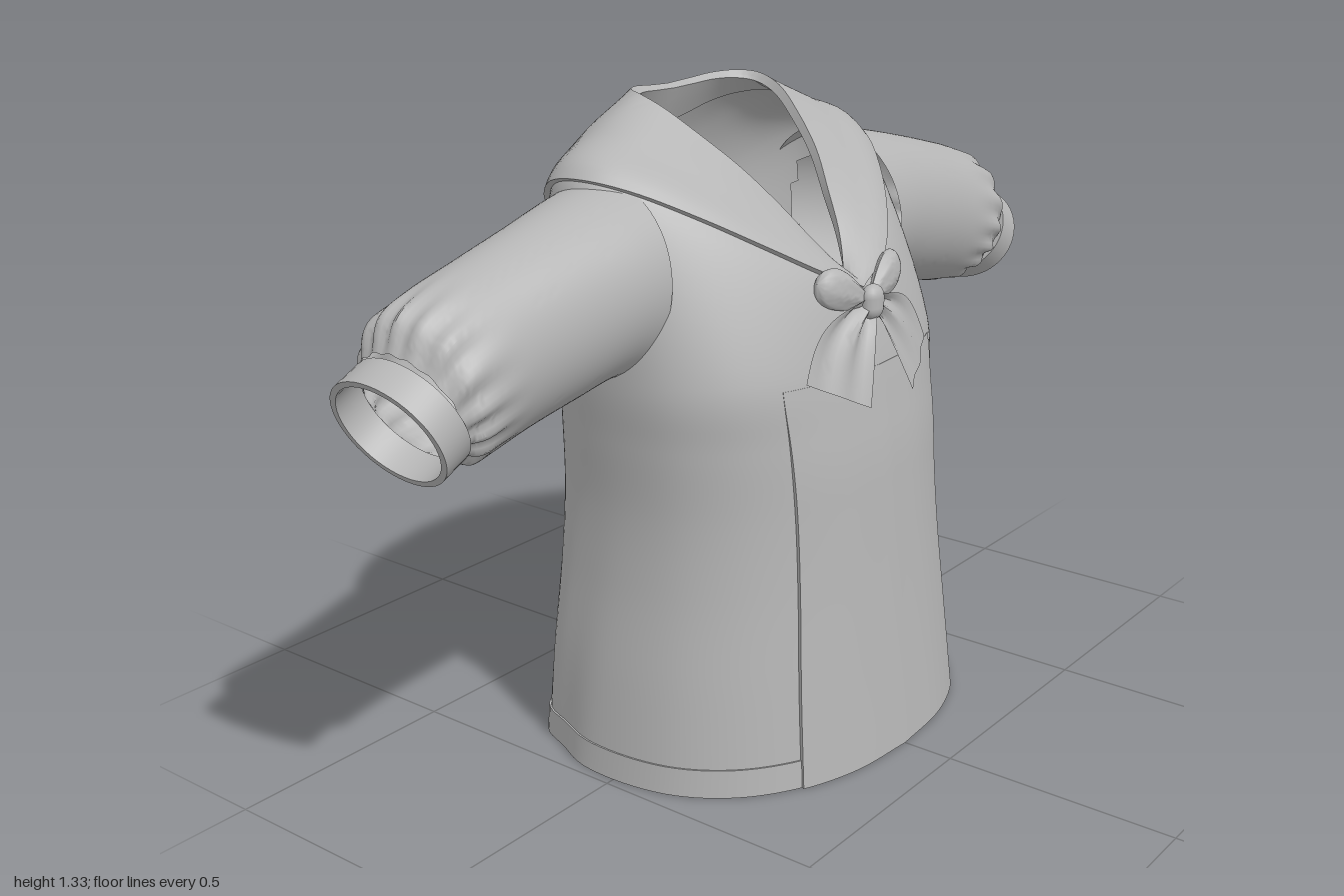
import * as THREE from 'three';
import { toCreasedNormals } from 'three/addons/utils/BufferGeometryUtils.js';

const V = (x, y, z) => new THREE.Vector3(x, y, z);
const { lerp, smoothstep } = THREE.MathUtils;
const range = (a, b, n) => Array.from({ length: n + 1 }, (_, i) => lerp(a, b, i / n));

// Collar edge and neckline, from centre front round the left side to centre back
const collarEdge = [[0, .96, .255], [.1, 1.005, .235], [.2, 1.065, .175], [.3, 1.13, .09], [.38, 1.18, 0],
  [.42, 1.2, -.08], [.41, 1.19, -.16], [.35, 1.14, -.24], [.25, 1.075, -.3], [.12, .99, -.332], [0, .93, -.34]].map(p => V(...p));
const neckline = [[0, .975, .22], [.05, 1.05, .165], [.085, 1.12, .11], [.125, 1.19, .05], [.16, 1.25, -.02],
  [.185, 1.3, -.09], [.185, 1.32, -.14], [.165, 1.325, -.175], [.12, 1.325, -.2], [.06, 1.32, -.213], [0, 1.317, -.217]].map(p => V(...p));
const collarMiddle = collarEdge.map((p, k) => p.clone().lerp(neckline[k], .5).add(V(0, .006, k > 6 ? -.022 : 0)));

// Half cross-section of the body: height, half width, front z, back z
function bodyRing([y, w, front, back]) {
  return collarEdge.map((_, k) => {
    const a = k * Math.PI / 10, c = Math.cos(a), zc = -.02;
    const depth = Math.abs(c) ** .85 * ((c > 0 ? front : back) - zc);
    return V(k === 10 ? 0 : w * Math.sin(a) ** .95, y, zc + depth);
  });
}
const rings = [
  ...[[0, .478, .38, -.365], [.2, .455, .36, -.362], [.4, .428, .342, -.357], [.55, .42, .33, -.354],
    [.7, .43, .318, -.352], [.83, .44, .3, -.348]].map(bodyRing),
  collarEdge, collarMiddle, neckline,
].map(r => new THREE.CatmullRomCurve3(r));
const EDGE = 6 / 8; // v of the collar edge

// Body surface: t runs -1..1 round the body (0 is centre front), v from hem to neckline
const columns = new Map();
function bodyPoint(t, v) {
  if (t > 1) t -= 2;
  if (t < -1) t += 2;
  const a = Math.abs(t), key = a.toFixed(6);
  if (!columns.has(key)) columns.set(key, new THREE.CatmullRomCurve3(rings.map(r => r.getPoint(a))));
  const p = columns.get(key).getPoint(v);
  // Soft drapery folds on the back and sides
  const weight = smoothstep(a, .5, .75) * (1 - smoothstep(v, .3, .72));
  const f = 1 - .035 * weight * Math.cos((1 - a) * Math.PI * 10 * (1 - .35 * p.y));
  return V(p.x * f * Math.sign(t), p.y, p.z * f);
}
function offsetPoint(t, v, off) {
  const p = bodyPoint(t, v);
  if (!off) return p;
  const e = .004;
  const du = bodyPoint(t + e, v).sub(bodyPoint(t - e, v));
  const dv = bodyPoint(t, Math.min(1, v + e)).sub(bodyPoint(t, Math.max(0, v - e)));
  return p.addScaledVector(du.cross(dv).normalize(), off);
}

// Grid surface from fn(i, j); quads whose corner passes skip() are left open
function grid(nu, nv, fn, flip = false, skip = null) {
  const pos = [], idx = [], pts = [];
  for (let j = 0; j <= nv; j++) for (let i = 0; i <= nu; i++) {
    const p = fn(i, j);
    pts.push(p);
    pos.push(p.x, p.y, p.z);
  }
  for (let j = 0; j < nv; j++) for (let i = 0; i < nu; i++) {
    const a = j * (nu + 1) + i, b = a + 1, c = b + nu + 1, d = a + nu + 1;
    if (skip && skip(pts[a])) continue;
    idx.push(...(flip ? [a, c, b, a, d, c] : [a, b, c, a, c, d]));
  }
  const g = new THREE.BufferGeometry();
  g.setAttribute('position', new THREE.Float32BufferAttribute(pos, 3));
  g.setIndex(idx);
  return toCreasedNormals(g, .8);
}

// Layer of cloth lying on the body, with its rim turned down to the surface
function layer(ts, vs, off, closed) {
  const T = closed ? ts : [ts[0], ...ts, ts.at(-1)], W = [vs[0], ...vs, vs.at(-1)];
  return grid(T.length - 1, W.length - 1, (i, j) => {
    const rim = j === 0 || j === W.length - 1 || (!closed && (i === 0 || i === T.length - 1));
    return offsetPoint(T[i], W[j], rim ? 0 : off(W[j]));
  });
}

// Sleeve sections: top x y, bottom x y, centre z, half depth
const sleeveSections = [[.37, 1.2, .41, .82, -.08, .18], [.46, 1.182, .455, .825, -.075, .172], [.58, 1.155, .56, .81, -.068, .157],
  [.72, 1.12, .68, .79, -.065, .147], [.84, 1.085, .77, .772, -.065, .146], [.905, 1.05, .82, .77, -.065, .142],
  [.935, .995, .85, .785, -.062, .122]];
function sleeve(s) {
  const nu = 96, nv = 44, cols = range(0, Math.PI * 2, nu).map(a => new THREE.CatmullRomCurve3(
    sleeveSections.map(([tx, ty, bx, by, z, rz]) => V((tx + bx) / 2 + Math.cos(a) * (tx - bx) / 2,
      (ty + by) / 2 + Math.cos(a) * (ty - by) / 2, z + Math.sin(a) * rz))));
  const middle = new THREE.CatmullRomCurve3(sleeveSections.map(([tx, ty, bx, by, z]) => V((tx + bx) / 2, (ty + by) / 2, z)));
  return grid(nu, nv, (i, j) => {
    const v = j / nv, p = cols[i % nu].getPoint(v), c = middle.getPoint(v);
    // Gathers towards the cuff
    const gather = .05 * smoothstep(v, .55, .9) * (1 - .5 * smoothstep(v, .92, 1));
    const a = i / nu * Math.PI * 2;
    p.sub(c).multiplyScalar(1 + gather * Math.cos(16 * a + Math.sin(3 * a))).add(c);
    p.x *= s;
    return p;
  }, s < 0);
}

function cuff(s) {
  const profile = [[-.032, .9], [-.032, 1], [.032, 1], [.032, .9], [-.032, .9]];
  return grid(48, 4, (i, j) => {
    const a = (i % 48) / 48 * Math.PI * 2, [d, r] = profile[j], up = Math.cos(a) * .116 * r;
    return V(s * (.922 + .9 * d + .43 * up), .871 - .43 * d + .9 * up, -.062 + Math.sin(a) * .13 * r);
  }, s < 0);
}

// Flared bow tail hanging over the chest
function bowTail(s) {
  return grid(14, 14, (i, j) => {
    const a = i / 14, b = j / 14, spread = Math.sin(b * Math.PI);
    const x = lerp(lerp(.03, .21, b) + .025 * spread, lerp(.004, .075, b), a);
    const y = lerp(lerp(.95, .82, b) + .03 * spread, lerp(.915, .75, b), a);
    const fold = .009 * Math.cos(a * Math.PI * 4) * (1 - b * .7);
    return V(s * x, y, .34 - .3 * (y - .75) - x * x + fold);
  }, s < 0);
}

// Small gathered bow loop
function bowLoop(s) {
  return grid(32, 16, (i, j) => {
    const a = (i % 32) / 32 * Math.PI * 2, b = j / 16;
    const r = (.25 + .75 * Math.sin(b * Math.PI * .62)) * Math.sqrt(Math.max(0, 1 - b ** 6)) * (1 + .1 * Math.cos(7 * a) * (1 - b));
    const along = b * .14, across = Math.cos(a) * .043 * r;
    return V(s * (.01 + along * .92 - across * .38), .945 + along * .38 + across * .92, .277 - along * .2 + Math.sin(a) * .024 * r);
  }, s < 0);
}

export function createModel() {
  const cloth = new THREE.MeshStandardMaterial({ color: 0xb5b5b5, side: THREE.DoubleSide });
  cloth.name = 'grey cloth';
  const model = new THREE.Group();
  model.name = 'sailorBlouse';
  const add = (name, geometry) => {
    const m = new THREE.Mesh(geometry, cloth);
    m.name = name;
    model.add(m);
    return m;
  };

  // Body, left open where the sleeves join
  const armhole = p => Math.abs(p.x) > .3 && ((p.y - .99) / .145) ** 2 + ((p.z + .075) / .125) ** 2 < 1;
  const ts = range(-1, 1, 128);
  add('body', grid(128, 64, (i, j) => bodyPoint(ts[i], j / 64), false, armhole));
  add('hemBand', layer(ts, range(0, .036, 3), () => .004, true));
  add('frontPanel', layer(range(-.19, .19, 24), range(0, .61, 36), v => .01 * (1 - smoothstep(v, .4, .61)) + .001, false));

  // Wide collar with a facing inside the neck
  add('collar', layer(ts, range(EDGE, 1, 16), () => .012, true));
  add('neckFacing', layer(ts, range(.945, 1, 4), () => -.008, true));

  for (const [side, s] of [['left', 1], ['right', -1]]) {
    add(side + 'Sleeve', sleeve(s));
    add(side + 'Cuff', cuff(s));
    add(side + 'BowLoop', bowLoop(s));
    add(side + 'BowTail', bowTail(s));
  }

  // Bow knot
  const knot = add('bowKnot', new THREE.CapsuleGeometry(.026, .02, 6, 16));
  knot.position.set(0, .94, .285);
  knot.scale.set(1.1, 1, .8);
  return model;
}
